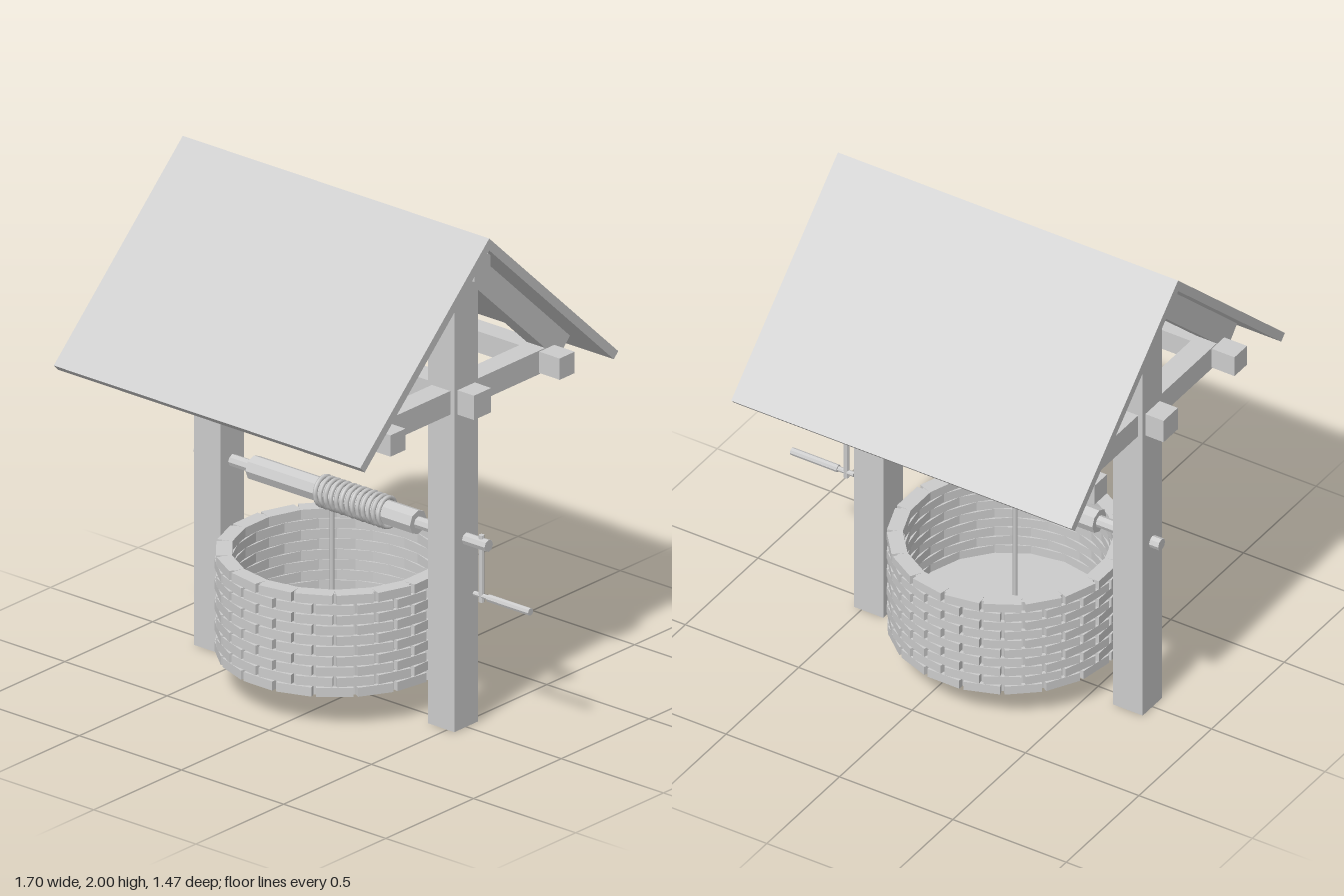
import * as THREE from 'three';

const material = new THREE.MeshStandardMaterial({ color: 0xcccccc, flatShading: true });
const ropeMaterial = new THREE.MeshStandardMaterial({ color: 0xcccccc });
const thinMaterial = new THREE.MeshStandardMaterial({ color: 0xcccccc, side: THREE.DoubleSide });

const CENTER = -0.1025; // x of the well axis; the crank makes the whole lopsided
const POST_X = 0.572;   // post distance from the well axis
const AXLE_Y = 0.76;

function add(parent, name, geometry, x = 0, y = 0, z = 0, mat = material) {
  const mesh = new THREE.Mesh(geometry, mat);
  mesh.name = name;
  mesh.position.set(x, y, z);
  parent.add(mesh);
  return mesh;
}

function box(parent, name, w, h, d, x, y, z) {
  return add(parent, name, new THREE.BoxGeometry(w, h, d), x, y, z);
}

// Rod along x between two x positions
function rod(parent, name, r, x0, x1, y, sides = 8) {
  const g = new THREE.CylinderGeometry(r, r, x1 - x0, sides).rotateZ(-Math.PI / 2);
  return add(parent, name, g, (x0 + x1) / 2, y, 0);
}

// Profile of [z, y] points extruded along x, centred on x
function alongX(parent, name, points, width, x) {
  const shape = new THREE.Shape(points.map(([z, y]) => new THREE.Vector2(-z, y)));
  const g = new THREE.ExtrudeGeometry(shape, { depth: width, bevelEnabled: false });
  g.translate(0, 0, -width / 2).rotateY(Math.PI / 2);
  return add(parent, name, g, x, 0, 0);
}

function createWall() {
  const wall = new THREE.Group();
  wall.name = 'wellWall';
  const rows = 10, perRow = 18, bottom = 0.13, pitch = 0.0415;
  const brick = new THREE.BoxGeometry(0.06, 0.0365, 0.14);
  for (let r = 0; r < rows; r++) {
    for (let i = 0; i < perRow; i++) {
      const a = ((i + (r % 2 ? 0 : 0.5)) / perRow) * Math.PI * 2;
      const m = add(wall, 'brick', brick, Math.cos(a) * 0.415, bottom + (r + 0.5) * pitch, -Math.sin(a) * 0.415);
      m.rotation.y = a;
    }
  }
  // Mortar core behind the joints
  const ring = [[0.393, 0.134], [0.43, 0.134], [0.43, 0.541], [0.393, 0.541], [0.393, 0.134]];
  add(wall, 'mortar', new THREE.LatheGeometry(ring.map(p => new THREE.Vector2(...p)), 36));
  // Water surface inside the ring
  add(wall, 'water', new THREE.CircleGeometry(0.4, 36).rotateX(-Math.PI / 2), 0, 0.175, 0, thinMaterial);
  return wall;
}

function createFrame() {
  const frame = new THREE.Group();
  frame.name = 'frame';
  for (const s of [-1, 1]) {
    const x = s * POST_X;
    box(frame, 'post', 0.13, 1.885, 0.134, x, 0.9425, 0);
    box(frame, 'crossBeam', 0.09, 0.095, 1.1, x, 1.3225, 0);
    // Sloping rafters, cut square at the lower end
    for (const side of [-1, 1]) {
      const pts = [[0, 1.952], [0.615, 1.375], [0.546, 1.302], [0, 1.812]];
      const outline = pts.map(([z, y]) => [z * side, y]);
      if (side < 0) outline.reverse();
      alongX(frame, 'rafter', outline, 0.09, x);
    }
  }
  // Long beams running past both posts
  const length = 1.435;
  box(frame, 'ridgeBeam', length, 0.09, 0.09, 0, 1.875, 0);
  box(frame, 'middleBeam', length, 0.098, 0.098, 0, 1.324, 0);
  for (const s of [-1, 1]) box(frame, 'eaveBeam', length, 0.086, 0.086, 0, 1.323, s * 0.482);
  return frame;
}

function createRoof() {
  const roof = new THREE.Group();
  roof.name = 'roof';
  const outline = [[0, 2], [0.735, 1.31], [0.71, 1.285], [0, 1.952], [-0.71, 1.285], [-0.735, 1.31]];
  alongX(roof, 'roofPanels', outline, 1.5, 0);
  return roof;
}

function createWindlass() {
  const windlass = new THREE.Group();
  windlass.name = 'windlass';
  rod(windlass, 'axle', 0.024, -0.78, 0.645, AXLE_Y);
  rod(windlass, 'drum', 0.048, -0.505, 0.3, AXLE_Y);
  // Crank arm, pin and grip
  add(windlass, 'crankArm', new THREE.CylinderGeometry(0.011, 0.011, 0.27, 8), 0.61, 0.66, 0);
  rod(windlass, 'crankPin', 0.01, 0.575, 0.66, 0.55);
  rod(windlass, 'crankGrip', 0.015, 0.645, 0.85, 0.55);
  // Rope wound on the drum, leaving it downward at the back
  const turns = 13, steps = 20, radius = 0.056, x0 = -0.17, x1 = 0.165;
  const points = [new THREE.Vector3(x0, 0.13, -radius), new THREE.Vector3(x0, 0.45, -radius), new THREE.Vector3(x0, 0.7, -radius)];
  for (let i = 0; i <= turns * steps; i++) {
    const a = (i / steps) * Math.PI * 2;
    const x = x0 + (x1 - x0) * i / (turns * steps);
    points.push(new THREE.Vector3(x, AXLE_Y + Math.sin(a) * radius, -Math.cos(a) * radius));
  }
  points.push(new THREE.Vector3(x1 + 0.008, AXLE_Y + 0.02, -0.035)); // tucked end
  const path = new THREE.CurvePath();
  for (let i = 1; i < points.length; i++) path.add(new THREE.LineCurve3(points[i - 1], points[i]));
  path.arcLengthDivisions = 600;
  add(windlass, 'rope', new THREE.TubeGeometry(path, 420, 0.009, 6), 0, 0, 0, ropeMaterial);
  return windlass;
}

export function createModel() {
  const model = new THREE.Group();
  model.name = 'well';
  const centred = [createWall(), createFrame(), createRoof()];
  for (const part of centred) part.position.x = CENTER;
  model.add(...centred, createWindlass());
  return model;
}
